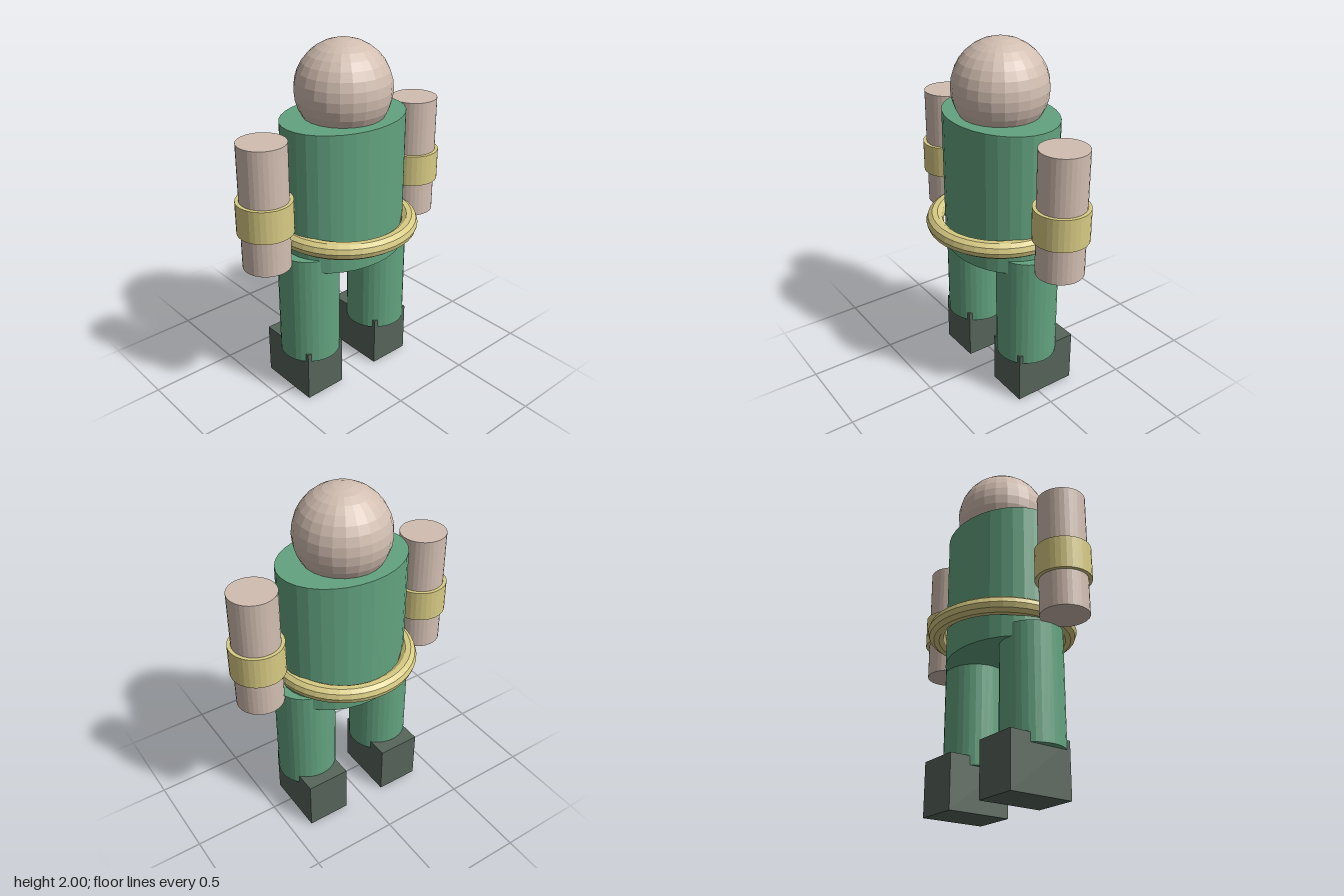
import * as THREE from 'three';

const material = (color) => new THREE.MeshStandardMaterial({ color, flatShading: true });

export function createModel() {
  const model = new THREE.Group();
  model.name = 'figure';

  const skin = material(0xd2beb1);
  const green = material(0x63a380);
  const gold = material(0xd8cb84);
  const dark = material(0x57655a);

  const add = (name, geometry, mat, x, y, z = 0) => {
    const mesh = new THREE.Mesh(geometry, mat);
    mesh.name = name;
    mesh.position.set(x, y, z);
    model.add(mesh);
    return mesh;
  };
  // upright closed cylinder between two heights
  const column = (name, radius, y0, y1, mat, x) =>
    add(name, new THREE.CylinderGeometry(radius, radius, y1 - y0, 32), mat, x, (y0 + y1) / 2);

  // head, sunk a little into the torso
  add('head', new THREE.SphereGeometry(0.26, 24, 16), skin, 0, 1.74);

  // oval torso
  const torso = column('torso', 1, 0.82, 1.6, green, 0);
  torso.scale.set(0.37, 1, 0.283);

  // round belt standing clear of the torso at front and back
  const belt = new THREE.TorusGeometry(0.365, 0.048, 10, 40).rotateX(Math.PI / 2);
  add('belt', belt, gold, 0, 0.98);

  // paired limbs
  for (const [side, s] of [['left', 1], ['right', -1]]) {
    column(side + 'Arm', 0.13, 0.89, 1.58, skin, s * 0.53);
    column(side + 'ArmBand', 0.15, 1.09, 1.27, gold, s * 0.53);
    column(side + 'Leg', 0.17, 0.25, 0.895, green, s * 0.255);
    add(side + 'Boot', new THREE.BoxGeometry(0.25, 0.3, 0.37), dark, s * 0.255, 0.15, -0.05);
  }
  return model;
}
